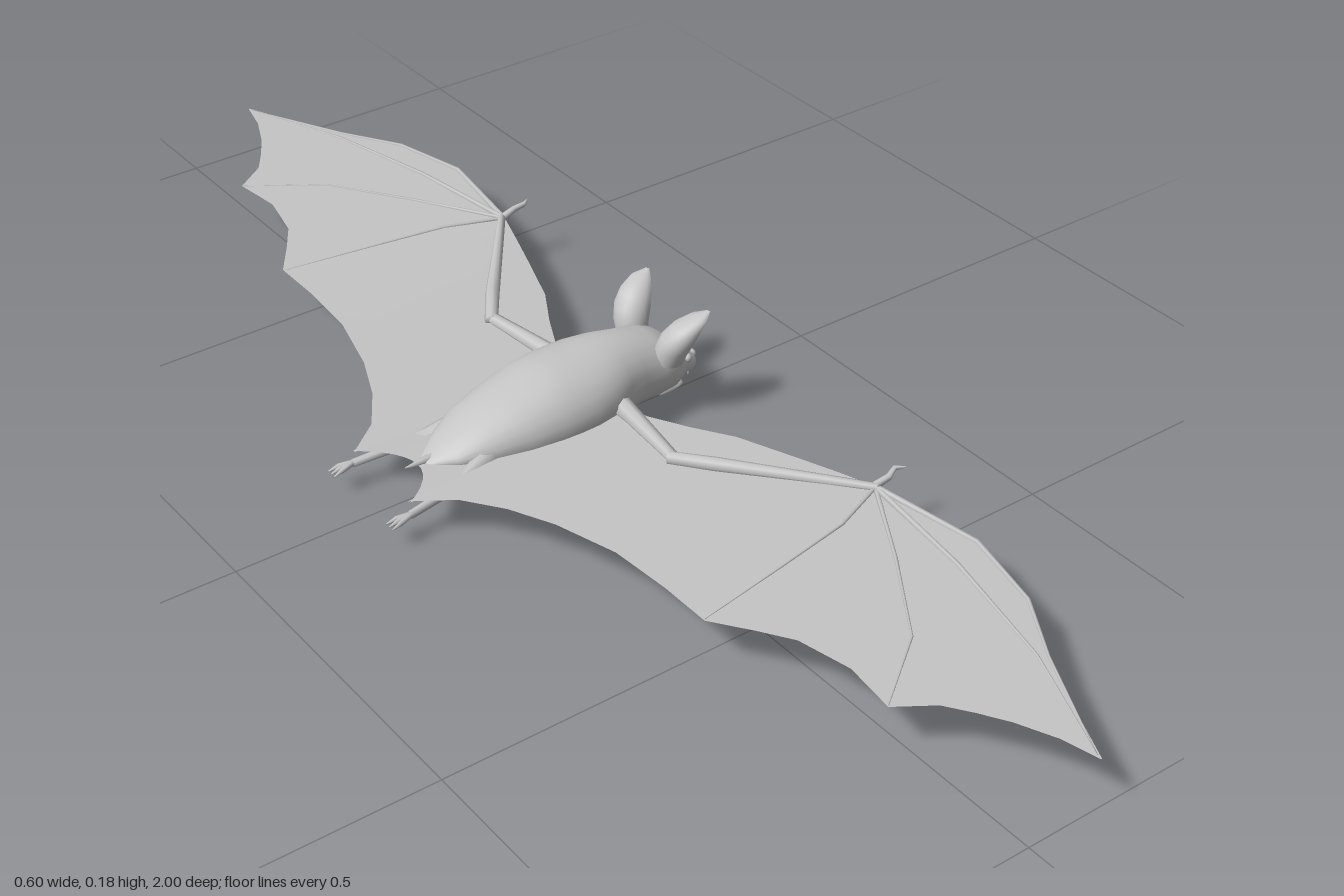
import * as THREE from 'three';

const fur = new THREE.MeshStandardMaterial({ color: 0xc4c4c4, side: THREE.DoubleSide });
fur.name = 'grey skin';
const V = (x, y, z) => new THREE.Vector3(x, y, z);

// Skin a surface over rows of points; closed joins each row's end to its start.
function loft(rows, closed) {
  const n = rows[0].length, m = closed ? n : n - 1, index = [];
  for (let i = 0; i < rows.length - 1; i++) {
    for (let j = 0; j < m; j++) {
      const k = (j + 1) % n;
      const a = i * n + j, b = i * n + k, c = a + n, d = b + n;
      index.push(a, b, c, b, d, c);
    }
  }
  const g = new THREE.BufferGeometry().setFromPoints(rows.flat());
  g.setIndex(index);
  g.computeVertexNormals();
  return g;
}

// Oval rings along x from [x, bottom, top, halfWidth].
function ovalBody(sections, n = 24) {
  return loft(sections.map(([x, lo, hi, w]) => Array.from({ length: n }, (_, j) => {
    const a = (j / n) * Math.PI * 2;
    return V(x, (lo + hi) / 2 + Math.cos(a) * (hi - lo) / 2, Math.sin(a) * w);
  })), true);
}

function add(parent, name, geometry) {
  const mesh = new THREE.Mesh(geometry, fur);
  mesh.name = name;
  parent.add(mesh);
  return mesh;
}

// Tapered limb through points, with a radius at each point.
function limb(parent, name, points, radii, n = 8) {
  const rows = points.map((p, i) => {
    const dir = points[Math.min(i + 1, points.length - 1)].clone()
      .sub(points[Math.max(i - 1, 0)]).normalize();
    const u = V(0, 1, 0).cross(dir).normalize();
    const v = dir.clone().cross(u);
    return Array.from({ length: n }, (_, j) => {
      const a = -(j / n) * Math.PI * 2;
      return p.clone().addScaledVector(u, Math.cos(a) * radii[i])
        .addScaledVector(v, Math.sin(a) * radii[i]);
    });
  });
  rows.unshift(rows[0].map(() => points[0].clone()));
  rows.push(rows[0].map(() => points[points.length - 1].clone()));
  return add(parent, name, loft(rows, true));
}

// Height of the wing membrane at a plan position.
const wingY = (x, z) => 0.079 + 0.02 * x - 0.018 * Math.max(0, 1 - z / 0.4);
const onWing = (x, z, lift = 0) => V(x, wingY(x, z) + lift, z);

// Leading x,z and trailing x,z of the wing from root to tip.
const wingRows = [
  [0.10, 0.05, -0.265, 0.07], [0.115, 0.11, -0.21, 0.11], [0.145, 0.17, -0.17, 0.17],
  [0.18, 0.23, -0.14, 0.24], [0.215, 0.33, -0.115, 0.34], [0.235, 0.39, -0.11, 0.44],
  [0.252, 0.44, -0.11, 0.52], [0.262, 0.50, -0.07, 0.575], [0.27, 0.56, -0.04, 0.62],
  [0.28, 0.61, -0.022, 0.70], [0.265, 0.68, -0.032, 0.78], [0.25, 0.735, 0.02, 0.815],
  [0.22, 0.785, 0.045, 0.85], [0.19, 0.83, 0.07, 0.89], [0.15, 0.91, 0.095, 0.945],
  [0.11, 0.998, 0.108, 0.998],
];

function wing() {
  const g = new THREE.Group();
  const steps = 8;
  add(g, 'wingMembrane', loft(wingRows.map(([lx, lz, tx, tz]) =>
    Array.from({ length: steps + 1 }, (_, j) => {
      const t = 1 - j / steps;
      return onWing(lx + (tx - lx) * t, lz + (tz - lz) * t);
    })), false));

  // Arm bones
  limb(g, 'upperArm', [V(0.10, 0.07, 0.05), onWing(0.095, 0.1, 0.004), onWing(0.075, 0.225, 0.004)],
    [0.018, 0.014, 0.009]);
  limb(g, 'forearm', [onWing(0.07, 0.215, 0.004), onWing(0.11, 0.27, 0.005), onWing(0.25, 0.445, 0.003)],
    [0.01, 0.011, 0.006]);
  limb(g, 'thumb', [onWing(0.245, 0.44, 0.002), V(0.272, 0.093, 0.442), V(0.287, 0.099, 0.437),
    V(0.30, 0.1, 0.445)], [0.006, 0.005, 0.004, 0.001]);

  // Finger bones fan out from the wrist
  const fingers = [
    [[0.25, 0.44], [0.278, 0.61], [0.248, 0.735], [0.19, 0.83], [0.11, 0.99]],
    [[0.25, 0.44], [0.225, 0.63], [0.18, 0.82], [0.11, 0.99]],
    [[0.25, 0.44], [0.17, 0.57], [0.08, 0.7], [-0.03, 0.778]],
    [[0.25, 0.44], [0.16, 0.475], [0.04, 0.495], [-0.108, 0.518]],
  ];
  fingers.forEach((path, f) => limb(g, 'finger' + (f + 1), path.map(([x, z]) => onWing(x, z)),
    path.map((_, i) => (f < 2 ? 0.005 : 0.0035) * (1 - 0.8 * i / (path.length - 1))), 6));
  return g;
}

function leg() {
  const g = new THREE.Group();
  limb(g, 'leg', [V(-0.1, 0.06, 0.04), V(-0.15, 0.05, 0.055), V(-0.2, 0.043, 0.066), V(-0.265, 0.038, 0.074)],
    [0.022, 0.012, 0.007, 0.006]);
  for (const k of [-1, 0, 1]) {
    limb(g, 'toe', [V(-0.262, 0.039, 0.074), V(-0.285, 0.037, 0.075 + k * 0.006), V(-0.3, 0.033, 0.075 + k * 0.008)],
      [0.004, 0.004, 0.001], 6);
  }
  return g;
}

// Cupped ear open to the front: [x, y, z, radius] from base to tip.
function ear() {
  const profile = [[0.205, 0.095, 0.044, 0.024], [0.207, 0.118, 0.05, 0.027], [0.214, 0.138, 0.056, 0.028],
    [0.224, 0.155, 0.062, 0.024], [0.237, 0.168, 0.068, 0.016], [0.253, 0.176, 0.072, 0.002]];
  return loft(profile.map(([x, y, z, r]) => Array.from({ length: 15 }, (_, j) => {
    const a = (j / 14 - 0.5) * 3.8 + 0.2;
    return V(x - Math.cos(a) * r, y, z - Math.sin(a) * r);
  })), false);
}

function face() {
  const g = new THREE.Group();
  add(g, 'ear', ear());
  add(g, 'eye', new THREE.SphereGeometry(0.007, 12, 8)).position.set(0.247, 0.076, 0.034);
  add(g, 'nostril', new THREE.SphereGeometry(0.007, 10, 8)).position.set(0.274, 0.061, 0.01);
  const fang = add(g, 'upperFang', new THREE.ConeGeometry(0.003, 0.014, 6));
  fang.position.set(0.266, 0.033, 0.014);
  fang.rotation.x = Math.PI;
  add(g, 'lowerFang', new THREE.ConeGeometry(0.002, 0.009, 6)).position.set(0.257, 0.021, 0.009);
  return g;
}

export function createModel() {
  const bat = new THREE.Group();
  bat.name = 'bat';

  // Torso and upper head
  add(bat, 'body', ovalBody([
    [-0.2, 0.052, 0.054, 0.001], [-0.19, 0.047, 0.059, 0.014], [-0.16, 0.042, 0.073, 0.038],
    [-0.118, 0.026, 0.099, 0.06], [-0.06, 0.01, 0.118, 0.076], [-0.01, 0.001, 0.133, 0.084],
    [0.02, 0, 0.138, 0.086], [0.05, 0.004, 0.139, 0.086], [0.085, 0.011, 0.141, 0.081],
    [0.12, 0.018, 0.141, 0.07], [0.155, 0.021, 0.136, 0.059], [0.19, 0.023, 0.129, 0.06],
    [0.215, 0.027, 0.118, 0.058], [0.233, 0.033, 0.103, 0.048], [0.248, 0.036, 0.087, 0.036],
    [0.26, 0.035, 0.075, 0.03], [0.27, 0.036, 0.07, 0.026], [0.276, 0.041, 0.066, 0.019],
    [0.279, 0.052, 0.054, 0.001],
  ]));
  // Open lower jaw
  add(bat, 'lowerJaw', ovalBody([
    [0.18, 0.035, 0.04, 0.01], [0.195, 0.024, 0.05, 0.042], [0.225, 0.02, 0.033, 0.032],
    [0.245, 0.016, 0.024, 0.022], [0.258, 0.013, 0.019, 0.013], [0.263, 0.015, 0.016, 0.001],
  ], 16));

  // Membrane between the legs, with the tail along its middle
  add(bat, 'tailMembrane', loft(Array.from({ length: 13 }, (_, i) => {
    const s = i / 6 - 1, z = s * 0.074, back = -0.205 - 0.06 * s * s;
    return [1, 0.5, 0].map((t) => V(-0.11 + (back + 0.11) * t, 0.055 + 0.004 * s * s, z));
  }), false));
  limb(bat, 'tail', [V(-0.17, 0.056, 0), V(-0.21, 0.055, 0), V(-0.225, 0.056, 0)], [0.009, 0.004, 0.001]);

  // Paired parts, mirrored across the body
  for (const side of [1, -1]) {
    const label = side > 0 ? 'right' : 'left';
    for (const [name, make] of [['Wing', wing], ['Leg', leg], ['Face', face]]) {
      const part = make();
      part.name = label + name;
      part.scale.z = side;
      bat.add(part);
    }
  }
  return bat;
}
